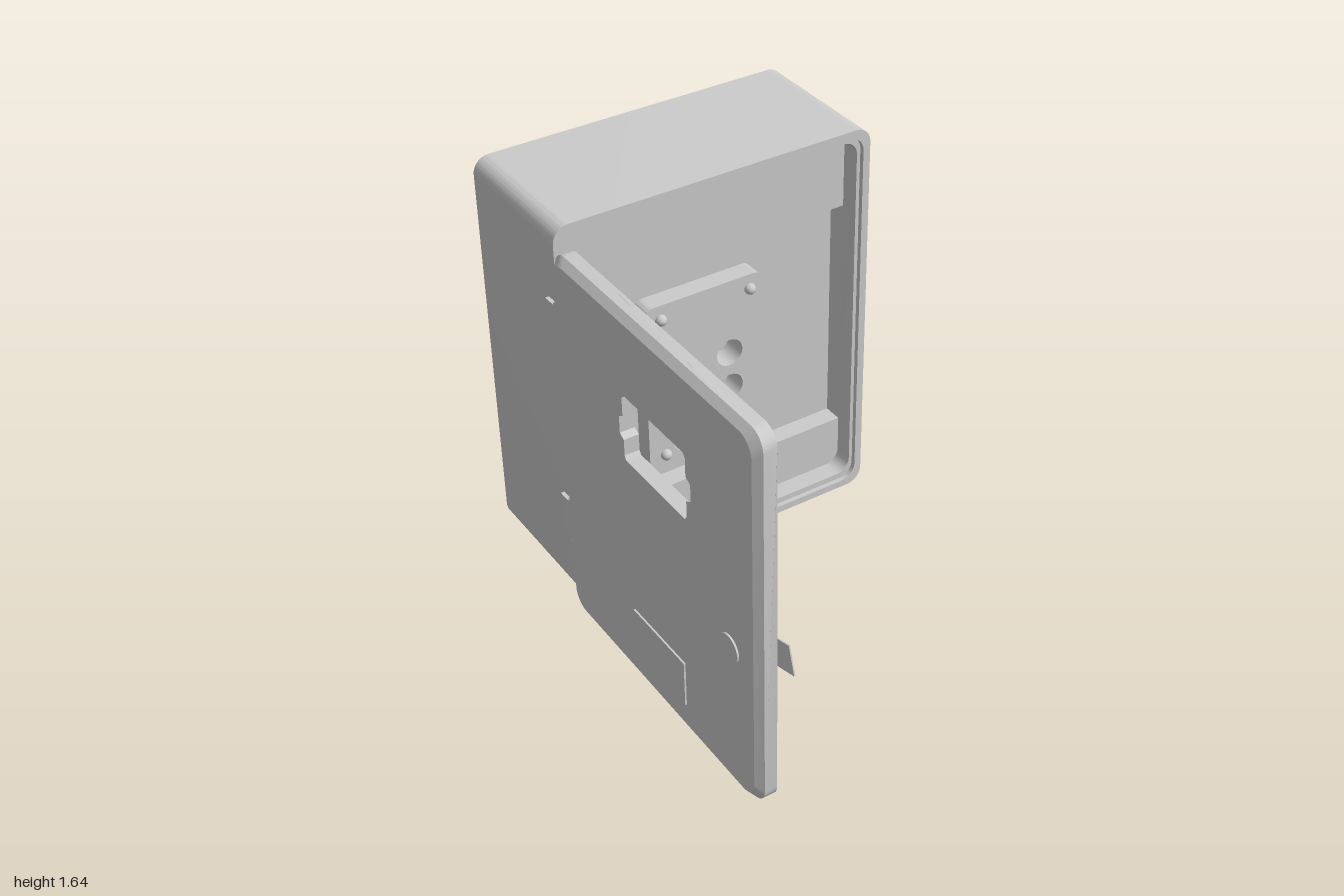
import * as THREE from 'three';
import { toCreasedNormals } from 'three/addons/utils/BufferGeometryUtils.js';

const mat = new THREE.MeshStandardMaterial({ color: 0xcccccc, side: THREE.DoubleSide });

function add(parent, name, geometry, x = 0, y = 0, z = 0) {
  const mesh = new THREE.Mesh(geometry, mat);
  mesh.name = name;
  mesh.position.set(x, y, z);
  parent.add(mesh);
  return mesh;
}

function box(parent, name, x0, x1, y0, y1, z0, z1) {
  return add(parent, name, new THREE.BoxGeometry(x1 - x0, y1 - y0, z1 - z0),
    (x0 + x1) / 2, (y0 + y1) / 2, (z0 + z1) / 2);
}

// Rectangle with separate corner radii for the bottom and the top pair
function roundRect([x0, x1, y0, y1], rb, rt = rb, inset = 0) {
  x0 += inset; x1 -= inset; y0 += inset; y1 -= inset;
  const s = new THREE.Shape();
  const corner = (cx, cy, r, a) => r > 0
    ? s.absarc(cx, cy, r, a, a + Math.PI / 2, false) : s.lineTo(cx, cy);
  s.moveTo(x0 + rb, y0);
  s.lineTo(x1 - rb, y0);
  corner(x1 - rb, y0 + rb, rb, -Math.PI / 2);
  corner(x1 - rt, y1 - rt, rt, 0);
  corner(x0 + rt, y1 - rt, rt, Math.PI / 2);
  corner(x0 + rb, y0 + rb, rb, Math.PI);
  s.closePath();
  return s;
}

// Skin through outlines of equal point count, each given as [shape, z]
function loft(rows) {
  const rings = rows.map(([s, z]) => s.getPoints(10).map(p => [p.x, p.y, z]));
  const n = rings[0].length, index = [];
  for (let r = 0; r < rings.length - 1; r++) {
    for (let i = 0; i < n; i++) {
      const a = r * n + i, b = r * n + (i + 1) % n;
      index.push(a, b, b + n, a, b + n, a + n);
    }
  }
  const g = new THREE.BufferGeometry();
  g.setAttribute('position', new THREE.Float32BufferAttribute(rings.flat(2), 3));
  g.setIndex(index);
  return toCreasedNormals(g, 0.5);
}

function sheet(parent, name, shape, z) {
  return add(parent, name, new THREE.ShapeGeometry(shape, 10), 0, 0, z);
}

function circle(x, y, r) {
  return new THREE.Path().absarc(x, y, r, 0, Math.PI * 2, true);
}

function buildCabinet() {
  const g = new THREE.Group();
  g.name = 'cabinet';
  const outer = [-0.64, 0.69, 0, 1.64];
  const BACK = -1, FRONT = -0.41, STRIP = -0.51, PANEL = -0.59;
  const x0 = -0.595, x1 = 0.645, yLow = 0.27, yHigh = 1.27, r = 0.06;
  const rim = i => roundRect(outer, 0.065, 0.065, i);

  // Open-backed shell, stepped front rim and recess wall
  const inner = roundRect([x0, x1, 0.055, 1.585], r);
  add(g, 'shell', loft([
    [rim(0), BACK], [rim(0), FRONT], [rim(0.03), FRONT], [rim(0.03), FRONT - 0.02],
    [inner, FRONT - 0.02], [inner, STRIP],
  ]));

  // Shallow strips above and below the deeper main panel
  sheet(g, 'upperStrip', roundRect([x0, x1, yHigh, 1.585], 0, r), STRIP);
  sheet(g, 'lowerStrip', roundRect([x0, x1, 0.055, yLow], r, 0), STRIP);
  const well = roundRect([x0, x1, yLow, yHigh], 0);
  add(g, 'wellWall', loft([[well, STRIP], [well, PANEL]]));

  // Main panel with a raised, hollow control plate
  const plateRect = [-0.245, 0.275, 0.38, 1.11];
  const plate = roundRect(plateRect, 0.04);
  const panel = roundRect([x0, x1, yLow, yHigh], 0);
  panel.holes.push(roundRect(plateRect, 0.04));
  sheet(g, 'mainPanel', panel, PANEL);
  add(g, 'controlPlateWall', loft([[plate, PANEL], [plate, STRIP]]));

  // Six blind round sockets
  const sockets = [[-0.08, 0.79], [0.125, 0.79], [-0.08, 0.63], [0.125, 0.63], [-0.08, 0.47], [0.12, 0.475]];
  const R = 0.058, depth = 0.1;
  for (const [x, y] of sockets) {
    plate.holes.push(circle(x, y, R));
    const tube = new THREE.CylinderGeometry(R, R, depth, 32, 1, true).rotateX(Math.PI / 2);
    add(g, 'socketWall', tube, x, y, STRIP - depth / 2);
    add(g, 'socketBottom', new THREE.CircleGeometry(R, 32), x, y, STRIP - depth);
  }
  sheet(g, 'controlPlate', plate, STRIP);

  // Domed corner screws
  for (const [x, y] of [[-0.175, 1.05], [0.217, 1.05], [-0.175, 0.43], [0.212, 0.43]]) {
    add(g, 'screw', new THREE.SphereGeometry(0.023, 20, 14), x, y, STRIP + 0.005);
  }
  return g;
}

// The door is drawn flat: local x runs along world z, local z along world -x
function buildDoor() {
  const g = new THREE.Group();
  g.name = 'door';
  g.rotation.y = -Math.PI / 2;
  const rect = [-0.35, 0.925, 0.04, 1.605];
  const IN = 0.617, FACE = 0.635, OUT = 0.693;
  const edge = i => roundRect(rect, 0.07, 0.07, i);

  // Window opening with a small tab on each side
  const openingPoints = [
    [0.125, 1.02], [0.5, 1.02], [0.512, 1.035], [0.512, 1.1], [0.54, 1.115], [0.54, 1.185],
    [0.512, 1.2], [0.512, 1.275], [0.5, 1.29], [0.125, 1.29], [0.115, 1.275], [0.115, 1.2],
    [0.09, 1.185], [0.09, 1.115], [0.115, 1.1], [0.115, 1.035],
  ].map(p => new THREE.Vector2(...p));
  const opening = new THREE.Shape(openingPoints);

  const innerFace = edge(0.025), outerFace = edge(0.025);
  innerFace.holes.push(opening);
  outerFace.holes.push(opening);
  sheet(g, 'doorInnerFace', innerFace, FACE);
  sheet(g, 'doorOuterFace', outerFace, OUT);
  add(g, 'doorEdge', loft([
    [edge(0.025), FACE], [edge(0.025), IN], [edge(0), IN], [edge(0), 0.667], [edge(0.025), OUT],
  ]));
  add(g, 'windowFrame', loft([[opening, FACE], [opening, OUT]]));

  // Outer label plate
  box(g, 'labelPlate', 0.13, 0.47, 0.165, 0.36, OUT - 0.005, 0.7);

  // Lock barrel and its latch arm
  const lock = new THREE.CylinderGeometry(0.056, 0.056, 0.1, 32).rotateX(Math.PI / 2);
  add(g, 'lockBarrel', lock, 0.76, 0.655, 0.65);
  const arm = new THREE.Shape();
  const tilt = 1.27;
  arm.absarc(0, 0, 0.056, tilt, tilt + Math.PI, false);
  arm.lineTo(0.24, 0.008);
  arm.lineTo(0.208, 0.118);
  arm.closePath();
  // The arm leans upward toward the free edge
  const armGeo = new THREE.ExtrudeGeometry(mirrorArm(), { depth: 0.005, bevelEnabled: false, curveSegments: 16 });
  add(g, 'latchArm', armGeo, 0.76, 0.655, 0.597);
  return g;
}

function mirrorArm() {
  const s = new THREE.Shape(), a = Math.PI * 0.5 + 0.31, r = 0.056;
  s.absarc(0, 0, r, a, a + Math.PI, false);
  s.lineTo(0.24, 0.012);
  s.lineTo(0.208, 0.12);
  s.closePath();
  return s;
}

function buildHinge(y0, y1) {
  const g = new THREE.Group();
  g.name = 'hinge';
  const h = y1 - y0, mid = (y0 + y1) / 2, lug = 0.025;
  // Leaf on the cabinet side, pin, and end lugs reaching the door
  box(g, 'hingeLeaf', -0.655, -0.638, y0 + lug, y1 - lug, -0.47, -0.395);
  add(g, 'hingePin', new THREE.CylinderGeometry(0.017, 0.017, h, 20), -0.647, mid, -0.388);
  for (const y of [y0, y1 - lug]) {
    box(g, 'hingeLug', -0.66, -0.632, y, y + lug, -0.402, -0.345);
  }
  return g;
}

export function createModel() {
  const model = new THREE.Group();
  model.name = 'openCabinet';
  model.add(buildCabinet(), buildDoor(), buildHinge(1.135, 1.365), buildHinge(0.27, 0.5));
  return model;
}
